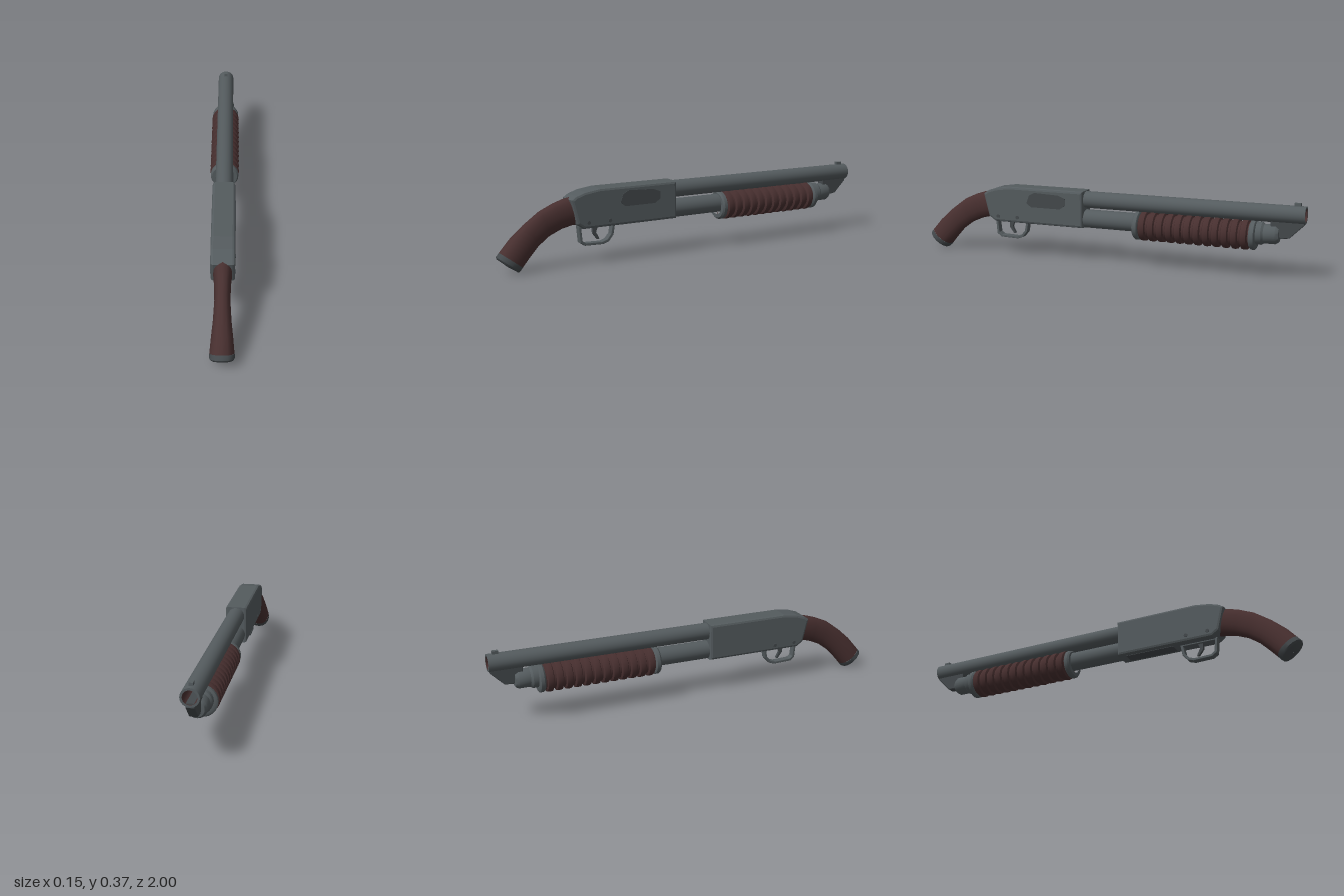
import * as THREE from 'three';
import { toCreasedNormals } from 'three/addons/utils/BufferGeometryUtils.js';

const mat = (name, color, side = THREE.FrontSide) => {
  const m = new THREE.MeshStandardMaterial({ color, side });
  m.name = name;
  return m;
};

export function createModel() {
  const root = new THREE.Group();
  root.name = 'pumpShotgun';
  const steel = mat('steel', 0x545b5e);
  const darkSteel = mat('darkSteel', 0x43484b);
  const wood = mat('wood', 0x472f2f);

  const add = (name, geo, material, x = 0, y = 0, z = 0) => {
    const m = new THREE.Mesh(geo, material);
    m.name = name;
    m.position.set(x, y, z);
    root.add(m);
    return m;
  };

  // Turned part: profile of [radius, distance towards the muzzle]
  const turned = (name, pts, material, y, sides = 24) => {
    const g = new THREE.LatheGeometry(pts.map(p => new THREE.Vector2(p[0], p[1])), sides);
    g.rotateX(-Math.PI / 2);
    return add(name, toCreasedNormals(g, 0.6), material, 0, y);
  };

  // Side profile in [z, y], extruded across x
  const slab = (name, shape, width, material, bevel = 0, x = 0) => {
    const g = new THREE.ExtrudeGeometry(shape, {
      depth: width - 2 * bevel, bevelEnabled: bevel > 0, bevelSize: bevel,
      bevelThickness: bevel, bevelOffset: -bevel, bevelSegments: 2, curveSegments: 10,
    });
    g.translate(0, 0, -(width - 2 * bevel) / 2);
    g.rotateY(-Math.PI / 2);
    return add(name, g, material, x);
  };
  const poly = pts => new THREE.Shape(pts.map(p => new THREE.Vector2(p[0], p[1])));

  // Loft through oval sections: [zTop, yTop, zBottom, yBottom, halfWidth]
  const loft = (name, sections, material, sides = 16) => {
    const pos = [], idx = [];
    sections.forEach(([zt, yt, zb, yb, w], i) => {
      for (let j = 0; j < sides; j++) {
        const a = j / sides * Math.PI * 2;
        const c = Math.cos(a), s = Math.sin(a);
        const sx = Math.sign(s) * Math.abs(s) ** 0.8;
        pos.push(sx * w, (yt + yb) / 2 + c * (yt - yb) / 2, (zt + zb) / 2 + c * (zt - zb) / 2);
        if (i === sections.length - 1) continue;
        const k = (j + 1) % sides, p = i * sides, q = p + sides;
        idx.push(p + j, q + j, p + k, p + k, q + j, q + k);
      }
    });
    const g = new THREE.BufferGeometry();
    g.setAttribute('position', new THREE.Float32BufferAttribute(pos, 3));
    g.setIndex(idx);
    g.computeVertexNormals();
    return add(name, toCreasedNormals(g, 0.7), material);
  };

  // Barrel with hollow muzzle
  turned('barrel', [[0.042, -0.12], [0.042, 1], [0.032, 1]], steel, 0.316);
  turned('bore', [[0.032, 1], [0.031, 0.8], [0.0001, 0.8]], wood, 0.316);
  add('frontBead', new THREE.BoxGeometry(0.018, 0.016, 0.03), steel, 0, 0.363, -0.96);

  // Magazine tube, cap and barrel lug
  turned('magazineTube', [[0.046, -0.12], [0.046, 0.78]], steel, 0.219);
  turned('magazineCap', [[0.054, 0.77], [0.054, 0.8], [0.046, 0.81], [0.046, 0.865],
    [0.036, 0.88], [0.0001, 0.885]], steel, 0.216);
  slab('barrelLug', poly([[-0.84, 0.29], [-0.84, 0.23], [-0.89, 0.2], [-0.93, 0.205],
    [-0.995, 0.27], [-0.995, 0.29]]), 0.04, darkSteel, 0.004);

  // Ribbed pump handle between two steel collars
  const ribs = [[0.062, 0.19]];
  const count = 12, pitch = 0.55 / count;
  for (let i = 0; i < count; i++) {
    const y = 0.2 + i * pitch;
    ribs.push([0.061, y], [0.072, y + 0.005], [0.074, y + 0.018], [0.072, y + 0.031], [0.061, y + 0.036]);
  }
  ribs.push([0.062, 0.755]);
  turned('pumpHandle', ribs, wood, 0.206);
  const collar = [[0.045, 0], [0.064, 0], [0.071, 0.008], [0.071, 0.024], [0.062, 0.03], [0.045, 0.03]];
  for (const [name, y] of [['rearCollar', 0.168], ['frontCollar', 0.745]])
    turned(name, collar.map(p => [p[0], p[1] + y]), steel, 0.206);

  // Receiver with sloping rear
  slab('receiver', poly([[0.097, 0.176], [0.59, 0.176], [0.625, 0.2], [0.655, 0.318],
    [0.63, 0.335], [0.585, 0.35], [0.51, 0.361], [0.097, 0.361]]), 0.11, steel, 0.012);

  // Ejection port on the left, loading port underneath
  const port = poly([[0.19, 0.285], [0.22, 0.265], [0.38, 0.265], [0.405, 0.285],
    [0.39, 0.325], [0.36, 0.34], [0.23, 0.335], [0.19, 0.32]]);
  slab('ejectionPort', port, 0.004, darkSteel, 0, 0.055);
  add('loadingPort', new THREE.BoxGeometry(0.06, 0.004, 0.25), darkSteel, 0, 0.176, 0.26);

  // Action pins on both sides
  for (const s of [-1, 1]) for (const z of [0.46, 0.57]) {
    const g = new THREE.CylinderGeometry(0.009, 0.009, 0.006, 12);
    g.rotateZ(Math.PI / 2);
    add('receiverPin', g, darkSteel, s * 0.055, 0.205, z);
  }

  // Trigger guard loop and trigger
  const guard = poly([[0.415, 0.182], [0.425, 0.125], [0.45, 0.095], [0.48, 0.085],
    [0.575, 0.088], [0.598, 0.105], [0.605, 0.182]]);
  guard.holes.push(new THREE.Path([[0.43, 0.17], [0.592, 0.17], [0.586, 0.112], [0.57, 0.1],
    [0.485, 0.097], [0.458, 0.106], [0.438, 0.13]].map(p => new THREE.Vector2(...p))));
  slab('triggerGuard', guard, 0.034, steel, 0.002);
  slab('trigger', poly([[0.5, 0.18], [0.512, 0.145], [0.495, 0.112], [0.505, 0.11],
    [0.528, 0.14], [0.53, 0.18]]), 0.014, darkSteel);

  // Curved pistol grip and butt cap
  loft('grip', [
    [0.63, 0.328, 0.6, 0.192, 0.042],
    [0.665, 0.322, 0.64, 0.19, 0.042],
    [0.72, 0.305, 0.69, 0.178, 0.037],
    [0.79, 0.274, 0.75, 0.152, 0.035],
    [0.87, 0.216, 0.805, 0.112, 0.04],
    [0.935, 0.158, 0.85, 0.064, 0.048],
    [0.985, 0.1, 0.885, 0.024, 0.054],
  ], wood);
  loft('buttCap', [
    [0.985, 0.1, 0.885, 0.024, 0.055],
    [1.0, 0.082, 0.898, 0.008, 0.055],
    [0.998, 0.072, 0.906, 0.003, 0.048],
    [0.955, 0.036, 0.953, 0.034, 0.001],
  ], darkSteel);

  return root;
}
